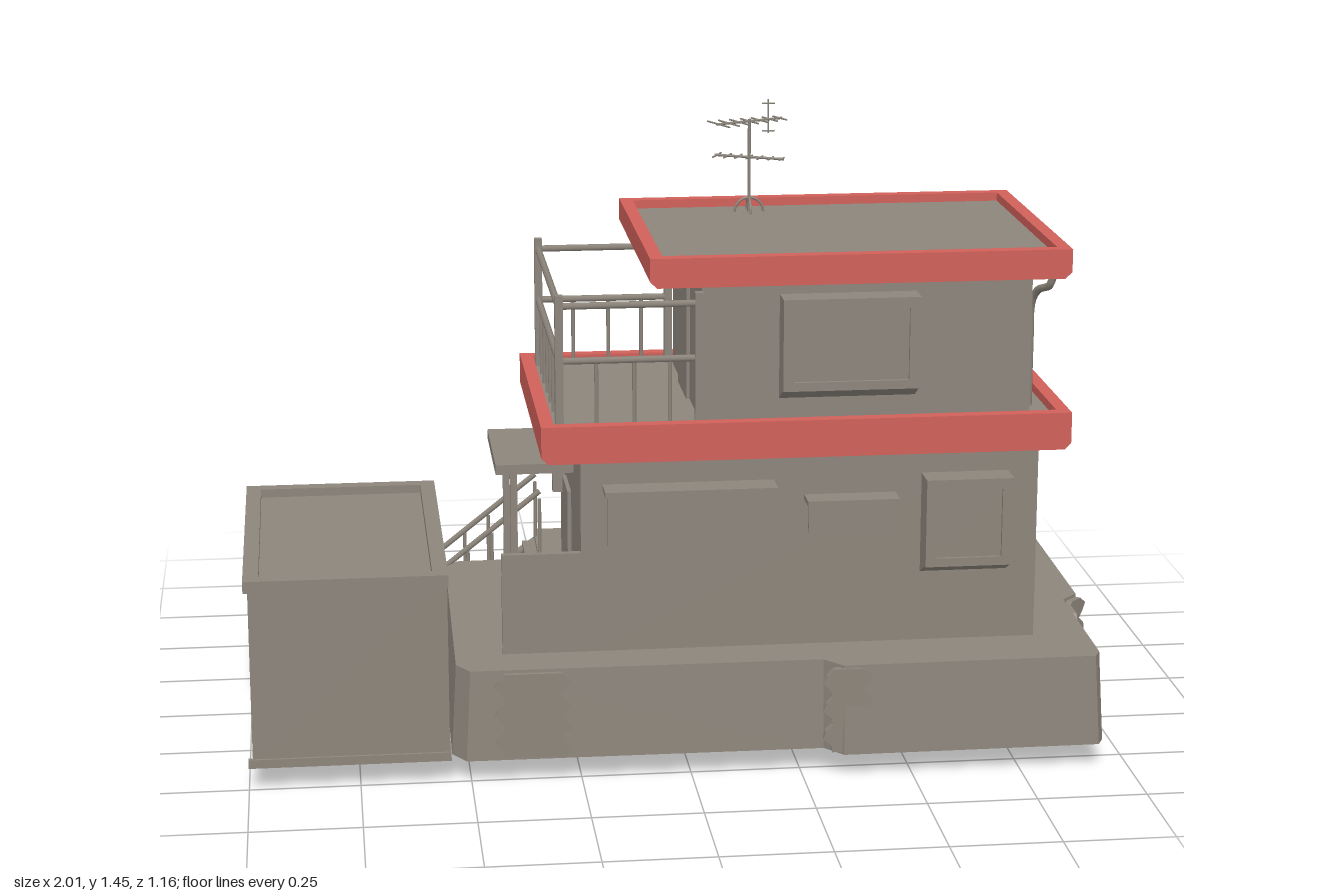
import * as THREE from 'three';

const grey = new THREE.MeshStandardMaterial({ color: 0x8c857b });
grey.name = 'concrete grey';
const red = new THREE.MeshStandardMaterial({ color: 0xd0605a });
red.name = 'trim red';

export function createModel() {
  const root = new THREE.Group();

  const add = (name, geo, mat = grey, parent = root) => {
    const m = new THREE.Mesh(geo, mat);
    m.name = name;
    parent.add(m);
    return m;
  };
  // Box given by its limits on each axis
  const box = (name, x0, x1, y0, y1, z0, z1, mat = grey, parent = root) => {
    const g = new THREE.BoxGeometry(x1 - x0, y1 - y0, z1 - z0);
    g.translate((x0 + x1) / 2, (y0 + y1) / 2, (z0 + z1) / 2);
    return add(name, g, mat, parent);
  };
  // Round bar between two points
  const bar = (name, a, b, r = 0.006, parent = root) => {
    const p = new THREE.Vector3(...a), q = new THREE.Vector3(...b), d = q.clone().sub(p);
    const m = add(name, new THREE.CylinderGeometry(r, r, d.length(), 6), grey, parent);
    m.position.copy(p).add(q).multiplyScalar(0.5);
    m.quaternion.setFromUnitVectors(new THREE.Vector3(0, 1, 0), d.normalize());
    return m;
  };
  const group = (name) => {
    const g = new THREE.Group();
    g.name = name;
    root.add(g);
    return g;
  };
  // Flat outline of [x, z] points raised upward from y0
  const slab = (points, y0, y1, hole) => {
    const toV = ([x, z]) => new THREE.Vector2(x, -z);
    const s = new THREE.Shape(points.map(toV));
    if (hole) s.holes.push(new THREE.Path(hole.map(toV)));
    const g = new THREE.ExtrudeGeometry(s, { depth: y1 - y0, bevelEnabled: false });
    return g.rotateX(-Math.PI / 2).translate(0, y0, 0);
  };
  const rect = (x0, x1, z0, z1) => [[x0, z0], [x0, z1], [x1, z1], [x1, z0]];

  // Raised foundation, widening slightly toward the ground
  const foundation = slab([
    [-0.52, -0.27], [-0.53, 0.46], [-0.5, 0.51], [0.3, 0.515], [0.34, 0.563], [0.92, 0.56], [0.935, 0.53],
    [0.94, 0.15], [0.98, 0.11], [0.985, -0.4], [0.965, -0.46], [0.91, -0.52], [0.36, -0.515],
    [0.31, -0.567], [-0.28, -0.57], [-0.285, -0.32], [-0.49, -0.315]], 0.055, 0.265);
  const fp = foundation.attributes.position;
  for (let i = 0; i < fp.count; i++) {
    if (fp.getY(i) > 0.1) continue;
    fp.setX(i, 0.22 + (fp.getX(i) - 0.22) * 1.016);
    fp.setZ(i, fp.getZ(i) * 1.02);
  }
  foundation.computeVertexNormals();
  add('foundation', foundation);

  // Weathered patches with wavy edges on the foundation sides
  [[-0.36, 0.514, 0, 0.15], [0.35, 0.56, 0, 0.09], [0.945, 0.2, Math.PI / 2, 0.09],
    [0.97, 0.13, 0.8, 0.06], [0.975, -0.45, 2.0, 0.08], [0.335, -0.545, 2.35, 0.08]].forEach(([x, z, turn, w]) => {
    const pts = [];
    for (let i = 0; i <= 12; i++) pts.push(new THREE.Vector2(w / 2 + 0.014 * Math.sin(i * 1.9), i * 0.0165));
    for (let i = 12; i >= 0; i--) pts.push(new THREE.Vector2(-w / 2 + 0.012 * Math.sin(i * 1.6 + 1), i * 0.0165));
    const g = new THREE.ExtrudeGeometry(new THREE.Shape(pts), { depth: 0.016, bevelEnabled: false });
    const m = add('weatheredPatch', g.translate(0, 0, -0.008));
    m.position.set(x, 0.06, z);
    m.rotation.y = turn;
  });

  // Driveway, garage and stairs
  add('driveway', slab([[-1, -0.52], [-1, -0.18], [-0.24, -0.18], [-0.24, -0.55], [-0.96, -0.55]], 0, 0.073));
  const garage = group('garage');
  box('garageFloor', -0.99, -0.545, 0.055, 0.08, -0.24, 0.505, grey, garage);
  box('garageOuterWall', -0.99, -0.965, 0.07, 0.475, -0.24, 0.505, grey, garage);
  box('garageInnerWall', -0.57, -0.548, 0.07, 0.475, -0.24, 0.505, grey, garage);
  box('garageFrontWall', -0.97, -0.56, 0.07, 0.475, 0.485, 0.505, grey, garage);
  box('garageRoof', -0.985, -0.555, 0.45, 0.475, -0.24, 0.5, grey, garage);
  box('garageHeader', -0.96, -0.57, 0.43, 0.475, -0.262, -0.235, grey, garage);
  add('garageRim', slab(rect(-1, -0.545, -0.25, 0.515), 0.468, 0.495, rect(-0.965, -0.58, -0.215, 0.48)), grey, garage);
  for (const x of [-0.985, -0.56]) box('garagePost', x - 0.012, x + 0.012, 0.06, 0.47, -0.255, -0.23, grey, garage);
  box('garageSkirt', -1, -0.545, 0.055, 0.075, 0.5, 0.512, grey, garage);

  const stairs = group('stairs');
  for (let i = 0; i < 6; i++) {
    const x = -0.53 + i * 0.043, y = 0.1 + i * 0.031;
    box('stairTread', x, x + 0.05, y - 0.01, y, -0.505, -0.355, grey, stairs);
  }
  for (const z of [-0.505, -0.35]) {
    bar('stairStringer', [-0.54, 0.075, z], [-0.28, 0.255, z], 0.01, stairs);
    bar('stairHandrail', [-0.52, 0.24, z], [-0.28, 0.43, z], 0.007, stairs);
    for (let i = 0; i < 5; i++) {
      const x = -0.52 + i * 0.06, y = 0.085 + i * 0.0425;
      bar('stairBaluster', [x, y, z], [x, y + 0.155, z], 0.005, stairs);
    }
  }

  // House walls
  box('groundFloor', -0.24, 0.81, 0.265, 0.74, -0.17, 0.4);
  box('upperFloor', 0.035, 0.785, 0.78, 1.14, -0.17, 0.4);
  box('porchScreen', -0.42, -0.24, 0.265, 0.5, 0.383, 0.4);

  // Red parapet bands around recessed decks
  const band = (name, x0, x1, y0, y1, z0, z1) => {
    const g = group(name), t = 0.03;
    add(name + 'Rim', slab(rect(x0, x1, z0, z1), y0 + 0.015, y1, rect(x0 + t, x1 - t, z0 + t, z1 - t)), red, g);
    const lower = box(name + 'Underside', x0, x1, y0, y0 + 0.015, z0, z1, red, g).geometry;
    const p = lower.attributes.position;
    for (let i = 0; i < p.count; i++)
      if (p.getY(i) < y0 + 0.005) p.setX(i, p.getX(i) + (p.getX(i) < 0.3 ? 0.015 : -0.015));
    lower.computeVertexNormals();
    box(name + 'Deck', x0 + t, x1 - t, y0 + 0.01, y1 - 0.02, z0 + t, z1 - t, grey, g);
  };
  band('terraceBand', -0.332, 0.87, 0.727, 0.813, -0.237, 0.463);
  band('roofBand', -0.088, 0.86, 1.123, 1.19, -0.237, 0.463);

  // Terrace railing on three sides
  const railing = group('terraceRailing');
  const zs = [-0.195, 0.425], xc = -0.288;
  for (const z of zs) {
    for (const x of [xc, 0.025]) box('railPost', x - 0.009, x + 0.009, 0.79, 1.105, z - 0.009, z + 0.009, grey, railing);
    for (const y of [0.955, 1.08]) bar('sideRail', [xc, y, z], [0.03, y, z], 0.008, railing);
    for (const x of [-0.205, -0.12, -0.04]) bar('baluster', [x, 0.79, z], [x, 0.955, z], 0.005, railing);
  }
  for (const y of [0.955, 1.08]) bar('endRail', [xc, y, zs[0]], [xc, y, zs[1]], 0.008, railing);
  for (let i = 1; i < 7; i++) {
    const z = zs[0] + i * 0.0886;
    bar('baluster', [xc, 0.79, z], [xc, 0.955, z], 0.005, railing);
  }
  box('terraceDoor', 0.027, 0.036, 0.79, 1.07, 0.0, 0.17);

  // Projecting windows with a sloping underside; s is the facing along z
  const bayWindow = (name, x0, x1, y0, y1, wall, s, depth) => {
    const g = group(name), out = wall + s * depth;
    const lo = Math.min(wall, out), hi = Math.max(wall, out);
    const body = box(name + 'Body', x0, x1, y0, y1, lo, hi, grey, g).geometry;
    const p = body.attributes.position;
    for (let i = 0; i < p.count; i++)
      if (p.getY(i) < y0 + 0.01 && Math.abs(p.getZ(i) - out) < 0.001) p.setY(i, y0 + 0.03);
    body.computeVertexNormals();
    const a = Math.min(out, out + s * 0.009), b = Math.max(out, out + s * 0.009), t = 0.025;
    box('windowFrame', x0, x1, y1 - t, y1, a, b, grey, g);
    box('windowFrame', x0, x1, y0 + 0.03, y0 + 0.05, a, b, grey, g);
    for (const x of [x0, x1 - t]) box('windowFrame', x, x + t, y0 + 0.03, y1, a, b, grey, g);
  };
  bayWindow('upperFrontWindow', 0.21, 0.52, 0.85, 1.09, 0.4, 1, 0.055);
  bayWindow('lowerFrontWindow', 0.54, 0.74, 0.43, 0.665, 0.4, 1, 0.06);
  bayWindow('backWindow', 0.0, 0.35, 0.46, 0.685, -0.17, -1, 0.03);

  // Flat windows under thin awnings
  const awningWindow = (name, x0, x1, y0, y1, wall, s, reach) => {
    const span = (d) => [Math.min(wall, wall + s * d), Math.max(wall, wall + s * d)];
    box(name + 'Awning', x0, x1, y1 - 0.012, y1, ...span(reach));
    box(name + 'Pane', x0 + 0.01, x1 - 0.01, y0, y1 - 0.01, ...span(0.008));
  };
  awningWindow('frontWideWindow', -0.19, 0.2, 0.47, 0.66, 0.4, 1, 0.07);
  awningWindow('frontSmallWindow', 0.27, 0.48, 0.53, 0.622, 0.4, 1, 0.06);
  awningWindow('backUpperWindow', 0.31, 0.67, 0.87, 1.113, -0.17, -1, 0.075);
  awningWindow('backSmallWindow', 0.48, 0.72, 0.53, 0.64, -0.17, -1, 0.02);

  // Air conditioner, wall boxes and drain pipe
  box('airConditioner', -0.16, -0.03, 0.52, 0.64, -0.24, -0.185);
  for (const x of [-0.14, -0.05]) box('conditionerBracket', x - 0.008, x + 0.008, 0.505, 0.52, -0.245, -0.17);
  box('meterBox', 0.81, 0.832, 0.488, 0.54, -0.132, -0.1);
  bar('meterConduit', [0.815, 0.54, -0.116], [0.815, 0.56, -0.116], 0.004);
  box('backMeter', -0.22, -0.18, 0.365, 0.415, -0.192, -0.17);
  const path = new THREE.CatmullRomCurve3([[0.825, 1.125, 0.43], [0.82, 1.1, 0.42], [0.806, 1.075, 0.36],
    [0.798, 1.04, 0.337], [0.797, 0.95, 0.335], [0.797, 0.8, 0.335]].map((p) => new THREE.Vector3(...p)));
  add('drainPipe', new THREE.TubeGeometry(path, 24, 0.009, 8));

  // Porch with canopy, posts and door
  box('porchCanopy', -0.42, -0.24, 0.637, 0.66, -0.105, 0.215);
  for (const z of [-0.085, 0.195]) box('porchPost', -0.386, -0.37, 0.265, 0.64, z - 0.008, z + 0.008);
  box('porchDoor', -0.249, -0.24, 0.265, 0.57, 0.0, 0.14);
  box('porchLamp', -0.27, -0.24, 0.52, 0.57, -0.06, -0.03);

  // Roof antenna: arched foot, mast and two element arrays
  const antenna = group('antenna'), ax = 0.2, az = -0.043;
  for (const turn of [0, Math.PI / 2]) {
    const m = add('antennaFoot', new THREE.TorusGeometry(0.034, 0.003, 6, 16, Math.PI), grey, antenna);
    m.position.set(ax, 1.19, az);
    m.rotation.y = turn;
  }
  bar('antennaMast', [ax, 1.19, az], [ax, 1.41, az], 0.004, antenna);
  [[1.405, -0.42, 0.09, 0.04], [1.32, 0.45, 0.085, 0.025]].forEach(([y, angle, half, len]) => {
    const c = Math.cos(angle), s = Math.sin(angle);
    const at = (d, e) => [ax + c * d - s * e, y, az + s * d + c * e];
    bar('antennaBoom', at(-half, 0), at(half, 0), 0.003, antenna);
    for (let i = -3; i <= 3; i++) {
      const d = i * half / 3.2, e = len * (1 - 0.08 * i);
      bar('antennaElement', at(d, -e), at(d, e), 0.002, antenna);
    }
  });
  bar('antennaReflector', [0.25, 1.37, -0.08], [0.25, 1.45, -0.08], 0.002, antenna);
  for (const y of [1.375, 1.44]) bar('antennaReflectorArm', [0.235, y, -0.08], [0.265, y, -0.08], 0.002, antenna);
  return root;
}
